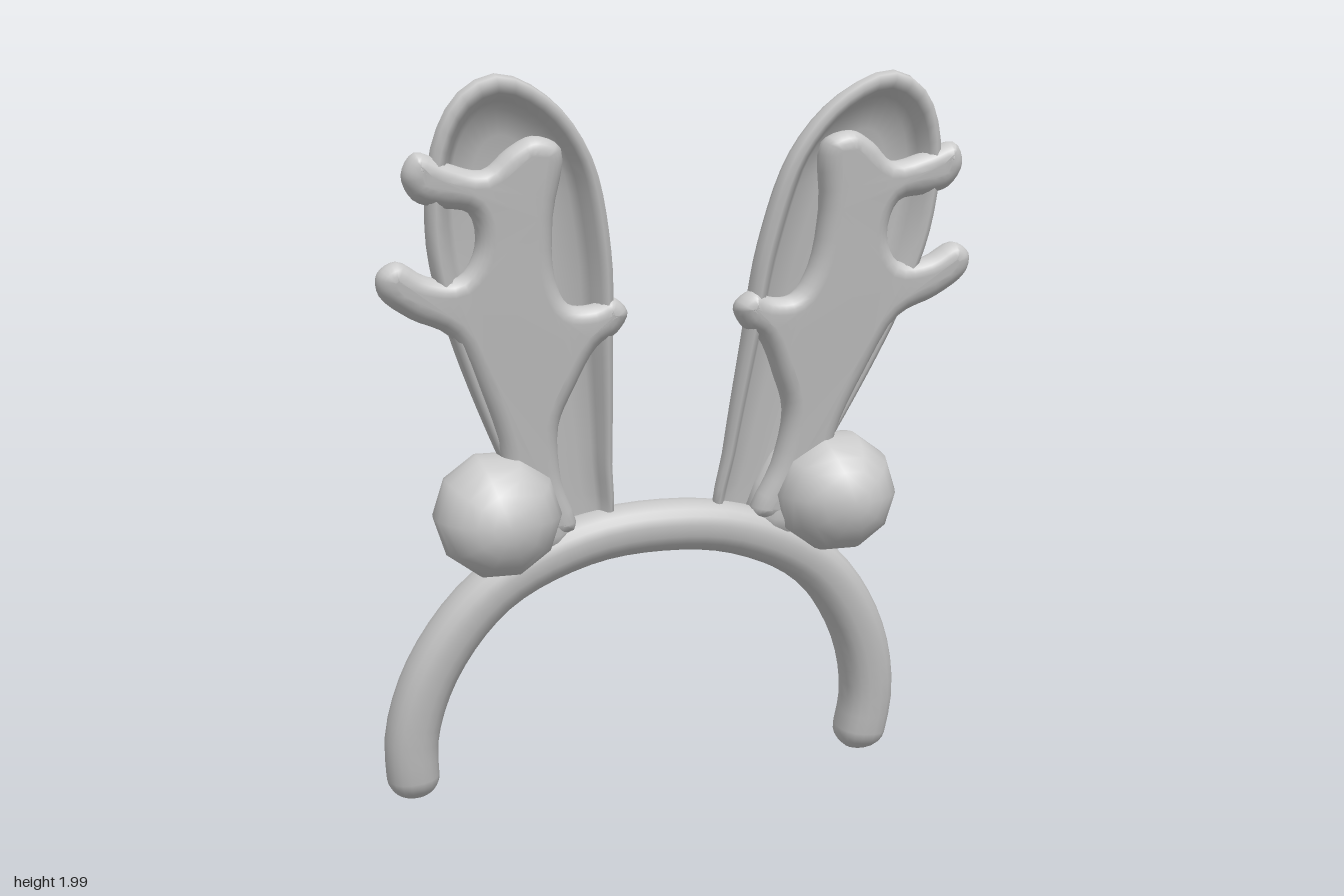
import * as THREE from 'three';
import { mergeVertices } from 'three/addons/utils/BufferGeometryUtils.js';

const grey = new THREE.MeshStandardMaterial({ color: 0xcccccc });

// Skin a list of rings (each a closed loop of Vector3) into one smooth surface
function skin(rings) {
  const n = rings[0].length, pos = [], idx = [];
  rings.forEach(r => r.forEach(p => pos.push(p.x, p.y, p.z)));
  for (let i = 0; i < rings.length - 1; i++) {
    for (let j = 0; j < n; j++) {
      const k = (j + 1) % n;
      const a = i * n + j, b = i * n + k, c = a + n, d = b + n;
      idx.push(a, b, c, b, d, c);
    }
  }
  const g = new THREE.BufferGeometry();
  g.setAttribute('position', new THREE.Float32BufferAttribute(pos, 3));
  g.setIndex(idx);
  return smooth(g);
}

function smooth(g) {
  g.deleteAttribute('uv');
  g.deleteAttribute('normal');
  g = mergeVertices(g, 1e-4);
  g.computeVertexNormals();
  return g;
}

// Band and ears share one plane that leans forward as it rises
function lean(g) {
  g.applyMatrix4(new THREE.Matrix4().set(1, 0, 0, 0, 0, 1, 0, 0, 0, 0.25, 1, -0.24, 0, 0, 0, 1));
  g.computeVertexNormals();
  return g;
}

function mirrored(g) {
  const m = g.clone().scale(-1, 1, 1);
  const ix = m.index.array;
  for (let i = 0; i < ix.length; i += 3) [ix[i], ix[i + 1]] = [ix[i + 1], ix[i]];
  m.computeVertexNormals();
  return m;
}

const v2 = pts => pts.map(([x, y]) => new THREE.Vector2(x, y));
const closedCurve = pts =>
  new THREE.CatmullRomCurve3(pts.map(([x, y]) => new THREE.Vector3(x, y, 0)), true, 'centripetal');

// Headband: oval section swept along the arch, with rounded ends
function bandGeometry() {
  const half = [[0.22, 0.757], [0.45, 0.64], [0.6, 0.44], [0.667, 0.22], [0.658, 0.01]];
  const path = [...half.map(([x, y]) => [-x, y]).reverse(), [0, 0.785], ...half];
  const curve = new THREE.CatmullRomCurve3(path.map(([x, y]) => new THREE.Vector3(x, y, 0)));
  const length = curve.getLength(), cap = 0.07, rings = [], steps = [];
  for (let i = 0; i <= 6; i++) steps.push(cap / length * (1 - Math.cos(i / 6 * Math.PI / 2)));
  for (let i = 1; i < 40; i++) steps.push(cap / length + (1 - 2 * cap / length) * i / 40);
  for (let i = 6; i >= 0; i--) steps.push(1 - steps[i]);
  for (const u of steps) {
    const p = curve.getPointAt(u), t = curve.getTangentAt(u);
    const e = Math.min(1, Math.min(u, 1 - u) * length / cap);
    const r = Math.sqrt(Math.max(0, 1 - (1 - e) ** 2));
    rings.push(Array.from({ length: 18 }, (_, j) => {
      const a = j / 18 * Math.PI * 2, c = Math.cos(a), s = Math.sin(a);
      const side = Math.sign(c) * Math.abs(c) ** 0.85 * 0.072 * r;
      const depth = Math.sign(s) * Math.abs(s) ** 0.85 * 0.085 * r;
      return new THREE.Vector3(p.x - t.y * side, p.y + t.x * side, depth);
    }));
  }
  return lean(skin(rings));
}

// Ear: its outline shrunk towards a spine, giving a round back, thick rim and hollow front
function earGeometry() {
  const outline = closedCurve([
    [0.15, 0.79], [0.25, 0.76], [0.33, 0.78], [0.4, 0.9], [0.48, 1.06], [0.615, 1.4],
    [0.665, 1.62], [0.65, 1.85], [0.59, 1.96], [0.5, 2.0], [0.37, 1.94], [0.26, 1.8],
    [0.195, 1.56], [0.175, 1.3], [0.155, 1.0],
  ]).getSpacedPoints(60).slice(0, 60);
  const profile = [
    [0, -0.125], [0.4, -0.117], [0.65, -0.098], [0.85, -0.06], [0.96, -0.015], [1, 0.02],
    [0.97, 0.05], [0.9, 0.062], [0.82, 0.05], [0.74, 0.01], [0.66, -0.02], [0.4, -0.035], [0, -0.04],
  ];
  const rings = profile.map(([s, z]) => outline.map(p => {
    const t = THREE.MathUtils.clamp((p.y - 0.8) / 0.95, 0, 1);
    const cx = 0.255 + 0.205 * t, cy = 0.8 + 0.95 * t;
    return new THREE.Vector3(cx + (p.x - cx) * s, cy + (p.y - cy) * s, z * (0.5 + 0.5 * Math.min(1, t * 1.6)));
  }));
  return lean(skin(rings));
}

// Antler: branching outline with a fully rounded edge
function antlerGeometry() {
  const outline = closedCurve([
    [0.25, 0.8], [0.44, 0.8], [0.46, 1.03], [0.52, 1.2], [0.6, 1.355], [0.7, 1.405], [0.775, 1.465],
    [0.78, 1.52], [0.735, 1.55], [0.66, 1.51], [0.58, 1.505], [0.54, 1.58], [0.56, 1.665],
    [0.63, 1.68], [0.695, 1.7], [0.725, 1.76], [0.695, 1.815], [0.62, 1.79], [0.53, 1.77],
    [0.47, 1.82], [0.41, 1.85], [0.34, 1.82], [0.352, 1.65], [0.34, 1.5], [0.3, 1.425],
    [0.24, 1.42], [0.19, 1.44], [0.145, 1.4], [0.17, 1.345], [0.22, 1.31], [0.275, 1.2],
    [0.31, 1.1], [0.295, 0.95],
  ]).getPoints(132).slice(0, 132);
  const g = new THREE.ExtrudeGeometry(new THREE.Shape(outline.map(p => new THREE.Vector2(p.x, p.y))), {
    depth: 0.01, bevelSize: 0.042, bevelOffset: -0.042, bevelThickness: 0.045, bevelSegments: 5, curveSegments: 1,
  });
  g.translate(0, 0, 0.018);
  return lean(smooth(g));
}

// Antler foot: rounded cone behind the ear
function footGeometry() {
  const g = new THREE.LatheGeometry(v2([
    [0, 0], [0.07, 0.015], [0.1, 0.07], [0.085, 0.15], [0.055, 0.23], [0.025, 0.28], [0, 0.29],
  ]), 14);
  g.rotateZ(-0.1).rotateX(0.12).translate(0.335, 0.735, -0.06);
  return smooth(g);
}

// Ball ornament beside the ear
function ballGeometry() {
  const g = new THREE.SphereGeometry(0.168, 10, 12);
  g.rotateX(Math.PI / 2).translate(0.467, 0.868, 0.035);
  return smooth(g);
}

export function createModel() {
  const model = new THREE.Group();
  model.name = 'antlerHeadband';
  const add = (name, geometry) => {
    const mesh = new THREE.Mesh(geometry, grey);
    mesh.name = name;
    model.add(mesh);
  };
  add('headband', bandGeometry());
  const parts = {
    Ear: earGeometry(), Antler: antlerGeometry(), AntlerFoot: footGeometry(), Ball: ballGeometry(),
  };
  for (const [name, g] of Object.entries(parts)) {
    add('left' + name, g);
    add('right' + name, mirrored(g));
  }
  return model;
}
